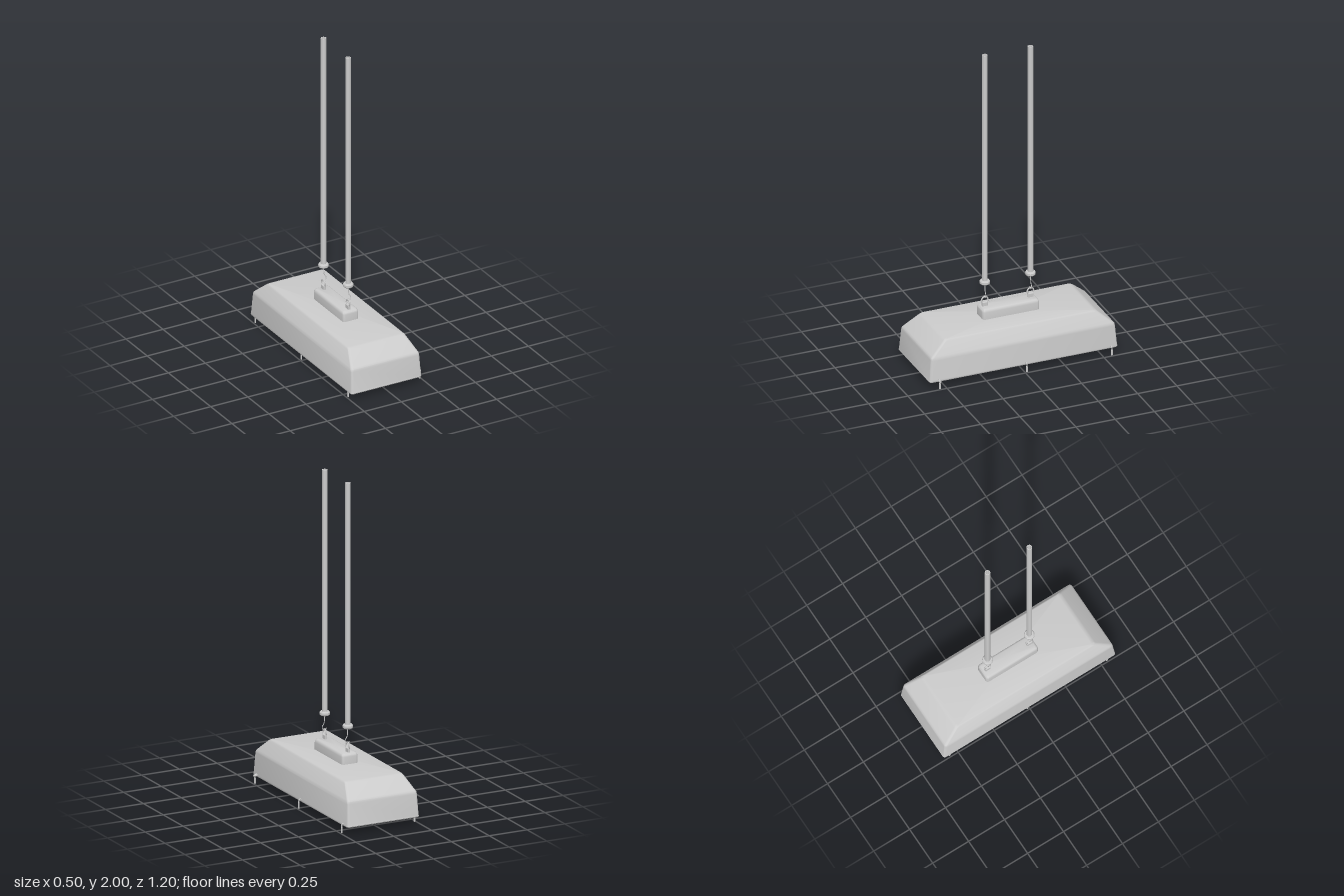
import * as THREE from 'three';
import { toCreasedNormals } from 'three/addons/utils/BufferGeometryUtils.js';
import { RoundedBoxGeometry } from 'three/addons/geometries/RoundedBoxGeometry.js';

const grey = new THREE.MeshStandardMaterial({ color: 0xcccccc, side: THREE.DoubleSide });
const CX = -0.012; // centre line of the lamp body

function add(parent, name, geometry, x = 0, y = 0, z = 0) {
  const mesh = new THREE.Mesh(geometry, grey);
  mesh.name = name;
  mesh.position.set(x, y, z);
  parent.add(mesh);
  return mesh;
}

// Skin over stacked rounded rectangles, each [half width, half depth, y, corner radius]
function loft(rings) {
  const steps = 4, n = 4 * (steps + 1), pos = [], index = [];
  for (const [w, d, y, r] of rings) {
    for (let c = 0; c < 4; c++) {
      const sx = c === 0 || c === 3 ? 1 : -1, sz = c < 2 ? 1 : -1;
      for (let s = 0; s <= steps; s++) {
        const a = (c + s / steps) * Math.PI / 2;
        pos.push(sx * (w - r) + r * Math.cos(a), y, sz * (d - r) + r * Math.sin(a));
      }
    }
  }
  for (let k = 0; k < rings.length - 1; k++) {
    for (let i = 0; i < n; i++) {
      const a = k * n + i, b = k * n + (i + 1) % n;
      index.push(a, b, a + n, b, b + n, a + n);
    }
  }
  const g = new THREE.BufferGeometry();
  g.setAttribute('position', new THREE.Float32BufferAttribute(pos, 3));
  g.setIndex(index);
  return toCreasedNormals(g, 0.6);
}

function lathe(points, sides = 20) {
  return toCreasedNormals(new THREE.LatheGeometry(points.map(p => new THREE.Vector2(...p)), sides), 0.6);
}

function tube(points, radius) {
  const curve = new THREE.CatmullRomCurve3(points.map(p => new THREE.Vector3(...p)));
  return new THREE.TubeGeometry(curve, 24, radius, 8);
}

export function createModel() {
  const model = new THREE.Group();
  model.name = 'hangingLamp';

  // Hood: sloped top, slightly flared walls, rolled rim and hollow underside
  add(model, 'hood', loft([
    [0.001, 0.001, 0.285, 0.0005],
    [0.183, 0.465, 0.285, 0.012],
    [0.190, 0.481, 0.281, 0.016],
    [0.195, 0.492, 0.273, 0.016],
    [0.226, 0.575, 0.202, 0.016],
    [0.230, 0.584, 0.193, 0.016],
    [0.232, 0.587, 0.180, 0.016],
    [0.238, 0.598, 0.055, 0.016],
    [0.239, 0.600, 0.046, 0.016],
    [0.236, 0.597, 0.040, 0.015],
    [0.222, 0.583, 0.040, 0.012],
    [0.222, 0.583, 0.048, 0.012],
    [0.205, 0.566, 0.048, 0.010],
    [0.205, 0.566, 0.042, 0.010],
    [0.196, 0.557, 0.042, 0.010],
    [0.185, 0.540, 0.095, 0.010],
    [0.001, 0.001, 0.095, 0.0005],
  ]), CX);

  // Light tray: two rows of square cells, separated by rounded bars
  const tray = new THREE.Group();
  tray.name = 'lightTray';
  tray.position.x = CX;
  model.add(tray);

  const cellShape = new THREE.Shape();
  cellShape.moveTo(-0.033, -0.46).lineTo(0.033, -0.46).lineTo(0.033, 0.46).lineTo(-0.033, 0.46).closePath();
  for (let i = 0; i < 12; i++) {
    const z = (i - 5.5) * 0.075, hole = new THREE.Path();
    hole.moveTo(-0.02, z - 0.02).lineTo(-0.02, z + 0.02).lineTo(0.02, z + 0.02).lineTo(0.02, z - 0.02).closePath();
    cellShape.holes.push(hole);
  }
  const cellStrip = new THREE.ExtrudeGeometry(cellShape, { depth: 0.02, bevelEnabled: false });
  cellStrip.rotateX(Math.PI / 2);
  for (const x of [-0.08, 0.08]) {
    add(tray, 'cellStrip', cellStrip, x, 0.094, -0.02);
    // U-shaped end holder
    for (const s of [-1, 1]) add(tray, 'holderArm', new RoundedBoxGeometry(0.016, 0.036, 0.055, 2, 0.005), x + s * 0.024, 0.074, 0.49);
    add(tray, 'holderBase', new RoundedBoxGeometry(0.06, 0.03, 0.022, 2, 0.005), x, 0.077, 0.51);
  }
  for (const x of [-0.15, 0, 0.15]) {
    const bar = add(tray, 'lightBar', new THREE.CapsuleGeometry(0.017, 0.94, 6, 14), x, 0.077, 0);
    bar.rotation.x = Math.PI / 2;
  }

  // Mounting block on top of the hood
  add(model, 'mountingBlock', loft([
    [0.001, 0.001, 0.35, 0.0005],
    [0.039, 0.167, 0.35, 0.010],
    [0.046, 0.174, 0.347, 0.014],
    [0.051, 0.179, 0.340, 0.016],
    [0.053, 0.181, 0.330, 0.016],
    [0.053, 0.181, 0.280, 0.016],
  ]), CX);

  // Suspension: eyelet, hook, collar and hollow rod
  for (const z of [0.147, -0.144]) {
    const hanger = new THREE.Group();
    hanger.name = 'hanger';
    hanger.position.set(CX - 0.002, 0, z);
    model.add(hanger);
    add(hanger, 'eyeletBase', new RoundedBoxGeometry(0.016, 0.03, 0.036, 2, 0.004), 0, 0.36, 0);
    const ring = add(hanger, 'eyelet', new THREE.TorusGeometry(0.02, 0.0045, 8, 24), 0, 0.388, 0);
    ring.rotation.y = Math.PI / 2;
    add(hanger, 'hook', tube([
      [-0.010, 0.414, 0], [-0.006, 0.404, 0], [0.004, 0.402, 0], [0.015, 0.412, 0],
      [0.017, 0.425, 0], [0.006, 0.442, 0], [0.002, 0.465, 0], [0.002, 0.505, 0],
    ], 0.0025), 0, 0, 0);
    add(hanger, 'collar', lathe([
      [0.013, 0.494], [0.026, 0.494], [0.031, 0.500], [0.031, 0.512], [0.026, 0.519], [0.016, 0.519],
    ]));
    add(hanger, 'rod', lathe([[0.0125, 0.497], [0.0165, 0.497], [0.0165, 2], [0.0125, 2], [0.0125, 0.497]]));
  }

  // Latches along the lower edges
  for (const z of [0.542, -0.012, -0.553]) {
    const latch = new THREE.Group();
    latch.name = 'latch';
    latch.position.z = z;
    model.add(latch);
    add(latch, 'latchArm', tube([[0.222, 0.05, 0], [0.232, 0.058, 0], [0.240, 0.052, 0], [0.241, 0.03, 0]], 0.0035));
    add(latch, 'latchPin', new RoundedBoxGeometry(0.008, 0.038, 0.012, 2, 0.003), 0.241, 0.019, 0);
    add(model, 'hingePin', new RoundedBoxGeometry(0.008, 0.045, 0.012, 2, 0.003), -0.24, 0.0225, z);
  }
  const knob = add(model, 'latchKnob', new THREE.CylinderGeometry(0.007, 0.007, 0.022, 12), 0.238, 0.05, 0.542);
  knob.rotation.z = Math.PI / 2;

  return model;
}
